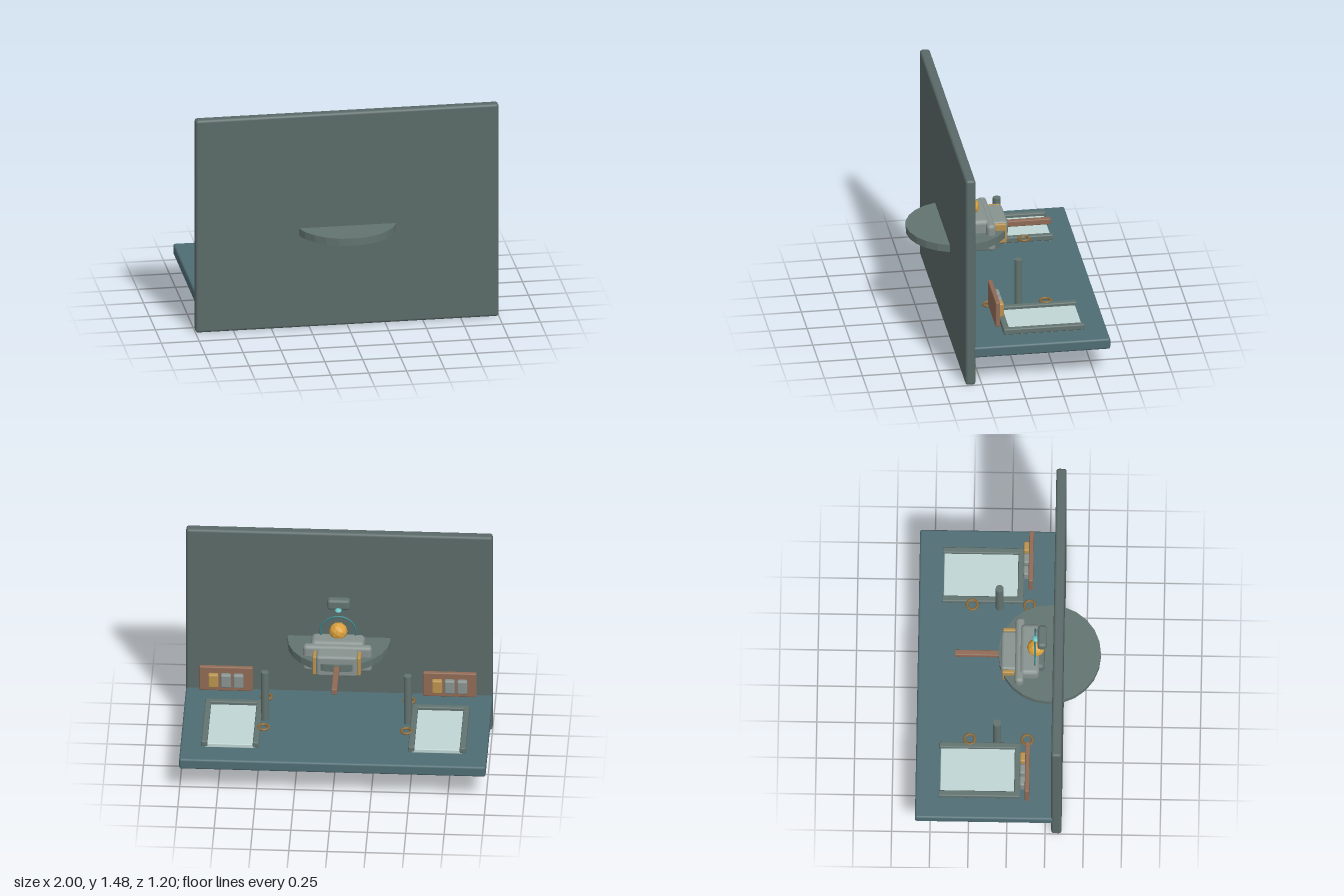
import * as THREE from 'three';
import { RoundedBoxGeometry } from 'three/addons/geometries/RoundedBoxGeometry.js';

const mat = (color, flatShading = false) => new THREE.MeshStandardMaterial({ color, flatShading });
const M = {
  wall: mat(0x5a6a68), base: mat(0x4f6d74), slate: mat(0x62736f), slateFlat: mat(0x62736f, true),
  body: mat(0x87928f), glass: mat(0xbfd6d4), wood: mat(0x8f6a55),
  tan: mat(0xb8924f), brass: mat(0x8a6a3a), amber: mat(0xd9a03c, true),
  teal: mat(0x3a8288), lamp: mat(0x6cc5c8),
};

export function createModel() {
  const model = new THREE.Group();

  function add(parent, name, geometry, material, x = 0, y = 0, z = 0) {
    const mesh = new THREE.Mesh(geometry, material);
    mesh.name = name;
    mesh.position.set(x, y, z);
    parent.add(mesh);
    return mesh;
  }

  // Rounded block given by its extents along each axis
  function block(parent, name, material, [x0, x1], [y0, y1], [z0, z1], r) {
    const geometry = new RoundedBoxGeometry(x1 - x0, y1 - y0, z1 - z0, 2, r);
    return add(parent, name, geometry, material, (x0 + x1) / 2, (y0 + y1) / 2, (z0 + z1) / 2);
  }

  // Wall, floor slab and the round shelf that passes through the wall
  block(model, 'wall', M.wall, [-1, 1], [0, 1.48], [0.29, 0.357], 0.018);
  block(model, 'floorSlab', M.base, [-1, 1], [0.195, 0.27], [-0.598, 0.305], 0.014);
  add(model, 'roundShelf', new THREE.CylinderGeometry(0.335, 0.335, 0.05, 24), M.slateFlat, 0, 0.667, 0.263);

  // Central figure: stacked padded blocks, straps, a pointing bar, head and halo
  const figure = new THREE.Group();
  figure.name = 'figure';
  model.add(figure);
  block(figure, 'torso', M.body, [-0.175, 0.175], [0.555, 0.78], [0.07, 0.198], 0.03);
  block(figure, 'chestPlate', M.body, [-0.225, 0.225], [0.575, 0.765], [0.038, 0.098], 0.025);
  block(figure, 'backPlate', M.slate, [-0.125, 0.125], [0.57, 0.76], [0.15, 0.232], 0.025);
  block(figure, 'pack', M.body, [-0.135, 0.135], [0.593, 0.745], [-0.053, 0.06], 0.02);
  for (const s of [-1, 1]) {
    const strap = block(figure, 'strap', M.tan, [-0.0125, 0.0125], [0.6, 0.738], [-0.043, 0.045], 0.008);
    strap.position.x = s * 0.145;
  }
  block(figure, 'bar', M.wood, [-0.019, 0.019], [0.646, 0.686], [-0.355, 0], 0.006);
  add(figure, 'head', new THREE.IcosahedronGeometry(0.06, 1), M.amber, 0, 0.805, 0.175);
  add(figure, 'halo', new THREE.TorusGeometry(0.116, 0.006, 8, 40), M.teal, 0, 0.805, 0.168);

  // Lamp floating over the head
  block(figure, 'lampHousing', M.slate, [-0.075, 0.075], [0.955, 1.03], [0.184, 0.246], 0.02);
  const bulb = add(figure, 'lampBulb', new THREE.SphereGeometry(0.025, 12, 8), M.lamp, 0, 0.964, 0.174);
  bulb.scale.set(0.9, 0.5, 1);

  // One work station on each side
  for (const s of [-1, 1]) {
    const station = new THREE.Group();
    station.name = s > 0 ? 'leftStation' : 'rightStation';
    model.add(station);
    const span = (a, b) => (s > 0 ? [a, b] : [-b, -a]);

    // Glass tray with a frame open at its rear end
    block(station, 'trayGlass', M.glass, span(0.51, 0.84), [0.268, 0.298], [-0.437, 0.068], 0.006);
    block(station, 'innerRail', M.slate, span(0.487, 0.527), [0.28, 0.32], [-0.448, 0.08], 0.008);
    block(station, 'outerRail', M.slate, span(0.823, 0.863), [0.28, 0.32], [-0.448, 0.08], 0.008);
    block(station, 'endRail', M.slate, span(0.487, 0.863), [0.28, 0.32], [0.045, 0.085], 0.008);

    // Post through the floor, with a ring to either side
    add(station, 'post', new THREE.CylinderGeometry(0.026, 0.026, 0.622, 16), M.slate, s * 0.466, 0.319, -0.071);
    for (const z of [-0.25, 0.125]) {
      const ring = add(station, 'ring', new THREE.TorusGeometry(0.034, 0.009, 8, 24), M.brass, s * 0.466, 0.318, z);
      ring.rotation.x = Math.PI / 2;
    }

    // Back board with three tablets, the one at +x tan
    block(station, 'board', M.wood, span(0.555, 0.905), [0.36, 0.54], [0.115, 0.145], 0.008);
    [-1, 0, 1].forEach((i) => {
      const x = s * 0.73 + i * 0.082;
      block(station, 'tablet', i === 1 ? M.tan : M.body, [x - 0.034, x + 0.034], [0.4, 0.5], [0.08, 0.118], 0.012);
    });
  }

  return model;
}
